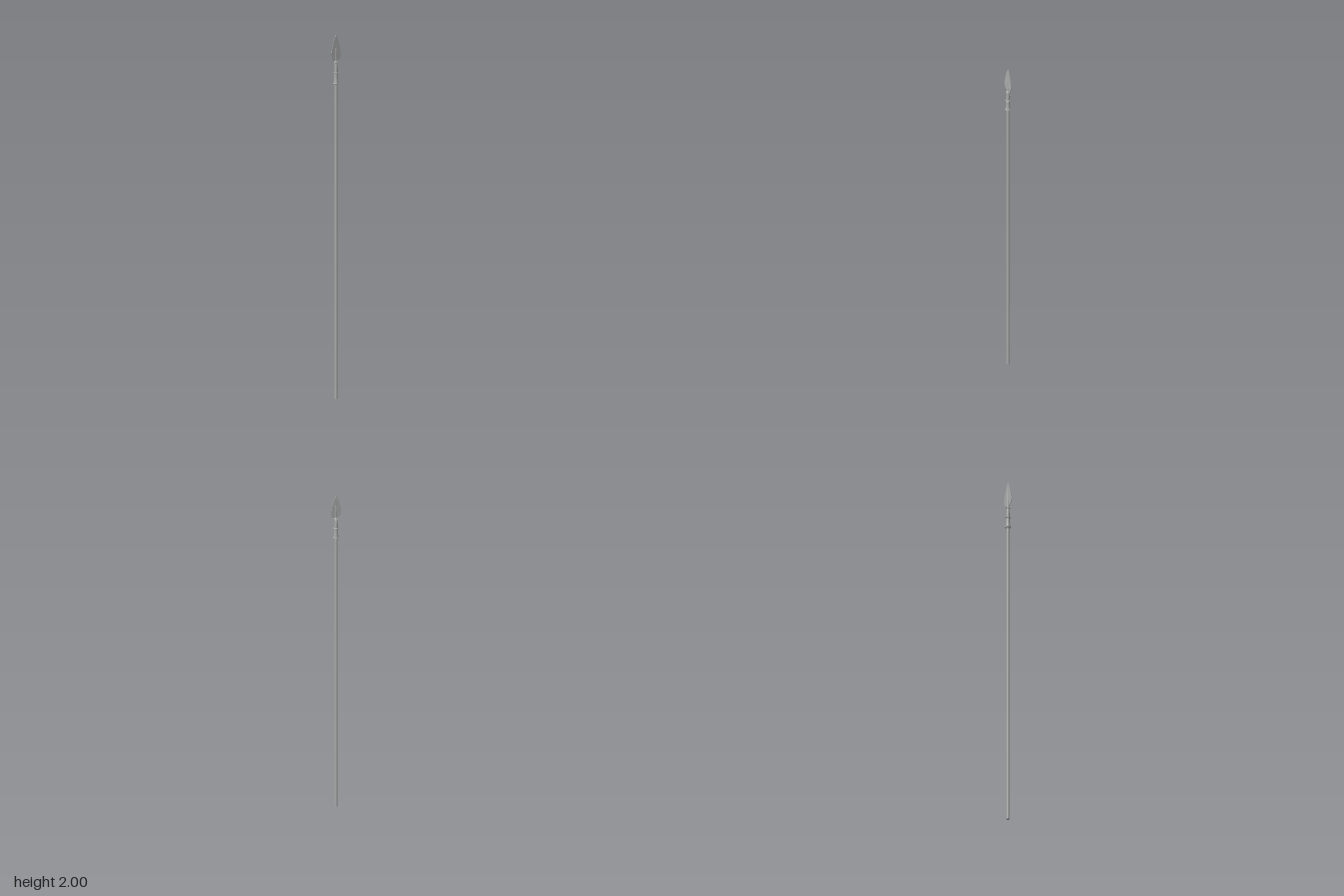
import * as THREE from 'three';

const vec = ([r, y]) => new THREE.Vector2(r, y);

export function createModel() {
  const spear = new THREE.Group();
  spear.name = 'spear';
  const steel = new THREE.MeshStandardMaterial({ color: 0xaaaaaa });

  const add = (name, geometry) => {
    const mesh = new THREE.Mesh(geometry, steel);
    mesh.name = name;
    spear.add(mesh);
    return mesh;
  };

  // Long round pole, running up inside the socket
  add('shaft', new THREE.CylinderGeometry(0.009, 0.009, 1.76, 24)).position.y = 0.88;

  // Socket: flared foot narrowing to a neck under the blade
  const socket = [[0.009, 1.728], [0.0135, 1.728], [0.013, 1.738], [0.0115, 1.75],
    [0.0102, 1.77], [0.0096, 1.8], [0.0092, 1.85], [0.006, 1.857], [0, 1.858]];
  add('socket', new THREE.LatheGeometry(socket.map(vec), 24));

  // Raised rings: [height, centre radius, thickness]
  [[1.732, 0.0128, 0.0035], [1.79, 0.0108, 0.0035], [1.845, 0.0095, 0.0028]].forEach(([y, r, t], i) => {
    const ring = new THREE.TorusGeometry(r, t, 8, 24).rotateX(Math.PI / 2);
    add(`ring${i + 1}`, ring).position.y = y;
  });

  // Leaf-shaped blade: a thin plate, its outline mirrored left to right
  const thickness = 0.003;
  const side = new THREE.SplineCurve([[0.006, 1.857], [0.02, 1.863], [0.028, 1.878],
    [0.03, 1.895], [0.027, 1.92], [0.018, 1.955], [0.008, 1.984], [0, 2]].map(vec)).getPoints(28);
  const mirrored = side.slice(0, -1).reverse().map((p) => new THREE.Vector2(-p.x, p.y));
  const plate = new THREE.ExtrudeGeometry(new THREE.Shape([...side, ...mirrored]),
    { depth: thickness, bevelEnabled: false });
  add('blade', plate.translate(0, 0, -thickness / 2));

  // Central rib fading out towards the point
  const rib = [[0.006, 1.85], [0.005, 1.87], [0.0038, 1.91], [0.0025, 1.945], [0, 1.98]];
  add('bladeRib', new THREE.LatheGeometry(rib.map(vec), 12));

  return spear;
}
